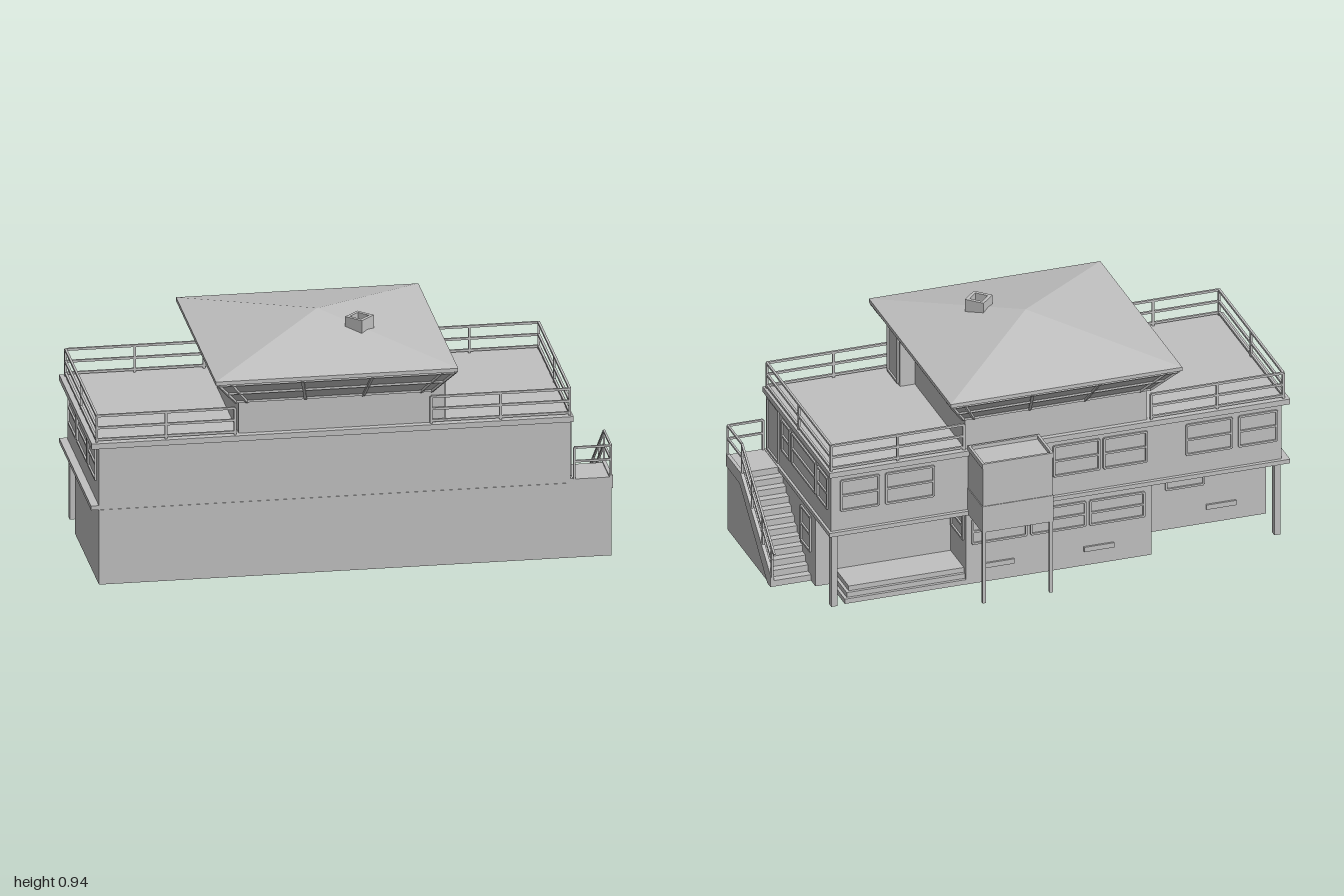
import * as THREE from 'three';

export function createModel() {
  const model = new THREE.Group();
  const grey = new THREE.MeshStandardMaterial({ color: 0xc0c0c0 });
  grey.name = 'plain grey';

  const add = (name, geometry, parent = model) => {
    const mesh = new THREE.Mesh(geometry, grey);
    mesh.name = name;
    parent.add(mesh);
    return mesh;
  };
  const group = (name) => {
    const g = new THREE.Group();
    g.name = name;
    model.add(g);
    return g;
  };
  // Box given by its limits on each axis
  const box = (name, x0, x1, y0, y1, z0, z1, parent) => {
    const g = new THREE.BoxGeometry(x1 - x0, y1 - y0, z1 - z0);
    g.translate((x0 + x1) / 2, (y0 + y1) / 2, (z0 + z1) / 2);
    return add(name, g, parent);
  };
  // Square bar between two points
  const bar = (name, a, b, t, parent) => {
    const p = new THREE.Vector3(...a), q = new THREE.Vector3(...b);
    const mesh = add(name, new THREE.BoxGeometry(t, t, p.distanceTo(q)), parent);
    mesh.position.copy(p).add(q).multiplyScalar(0.5);
    mesh.lookAt(q);
    return mesh;
  };
  // Box whose top rectangle differs from its bottom one; rectangles are [x0, x1, z0, z1]
  const taper = (name, bottom, top, y0, y1) => {
    const g = new THREE.BoxGeometry(1, 1, 1);
    const p = g.attributes.position;
    for (let i = 0; i < p.count; i++) {
      const up = p.getY(i) > 0, r = up ? top : bottom;
      p.setXYZ(i, p.getX(i) > 0 ? r[1] : r[0], up ? y1 : y0, p.getZ(i) > 0 ? r[3] : r[2]);
    }
    g.computeVertexNormals();
    return add(name, g);
  };
  // Side profile of [z, y] points, extruded from x0 to x1
  const profile = (name, points, x0, x1) => {
    const shape = new THREE.Shape(points.map(([z, y]) => new THREE.Vector2(-z, y)));
    const g = new THREE.ExtrudeGeometry(shape, { depth: x1 - x0, bevelEnabled: false });
    g.rotateY(Math.PI / 2).translate(x0, 0, 0);
    return add(name, g);
  };
  // Framed window facing +x, -x or -z; a and b are its limits along the wall
  const frame = (name, face, at, a, b, y0, y1, midBar = true) => {
    const g = group(name), t = 0.008, w = b - a, h = y1 - y0;
    const bars = [[0, -h / 2, w, t], [0, h / 2, w, t], [-w / 2, 0, t, h], [w / 2, 0, t, h]];
    if (midBar) bars.push([0, 0, w, t]);
    for (const [x, y, bw, bh] of bars) {
      add('frameBar', new THREE.BoxGeometry(bw, bh, 0.008).translate(x, y, 0.003), g);
    }
    const mid = (a + b) / 2, y = (y0 + y1) / 2;
    if (face === 'back') g.position.set(mid, y, at);
    else g.position.set(at, y, mid);
    g.rotation.y = { left: Math.PI / 2, right: -Math.PI / 2, back: Math.PI }[face];
  };

  // Ground floor
  box('groundFloor', -0.97, 0.83, 0, 0.3, -0.155, 0.4);
  box('groundFloorRear', -0.45, 0.29, 0, 0.3, -0.33, -0.155);
  box('entryPlatform', 0.29, 0.75, 0, 0.06, -0.305, -0.155);
  for (const [y, d] of [[0.04, 0.012], [0.02, 0.024]]) {
    box('entryStep', 0.29, 0.75 + d, 0, y, -0.305 - d, -0.155);
  }
  frame('entryWindow', 'left', 0.29, -0.305, -0.17, 0.18, 0.29);
  frame('sideWindow', 'left', 0.83, -0.105, 0, 0.125, 0.268);
  for (const x of [-0.42, -0.185, 0.05]) {
    frame('rearWindow', 'back', -0.33, x, x + 0.215, 0.17, 0.27);
  }
  frame('rearWindow', 'back', -0.155, -0.72, -0.57, 0.17, 0.27, false);
  for (const [x, z] of [[-0.3, -0.33], [0.1, -0.33], [-0.85, -0.155]]) {
    box('vent', x, x + 0.12, 0.06, 0.08, z - 0.008, z);
  }
  for (const x of [-0.965, 0.805]) box('cornerColumn', x, x + 0.025, 0, 0.3, -0.335, -0.31);

  // Upper floor and its slabs
  box('floorSlab', -1, 0.84, 0.3, 0.317, -0.345, 0.398);
  box('upperFloor', -0.97, 0.83, 0.317, 0.55, -0.33, 0.4);
  box('roofDeck', -1, 0.84, 0.55, 0.572, -0.345, 0.415);
  for (const [a, b] of [[0.125, 0.215], [-0.165, 0.1], [-0.3, -0.19]]) {
    frame('upperWindow', 'left', 0.83, a, b, 0.4, 0.525);
  }
  for (const [a, b] of [[0.18, 0.34], [-0.08, 0.15], [-0.29, -0.11]]) {
    frame('upperWindow', 'right', -0.97, a, b, 0.4, 0.525);
  }
  for (const [a, b] of [[0.64, 0.79], [0.42, 0.61], [-0.24, -0.06], [-0.43, -0.26], [-0.77, -0.59], [-0.95, -0.8]]) {
    frame('upperWindow', 'back', -0.33, a, b, 0.4, 0.525);
  }
  frame('landingDoor', 'left', 0.83, 0.258, 0.378, 0.325, 0.545, false);

  // Rear shaft on two legs, with an open rim
  box('rearShaftLower', 0, 0.285, 0.3, 0.41, -0.5, -0.33);
  box('rearShaftUpper', 0.003, 0.282, 0.41, 0.575, -0.497, -0.33);
  for (const [x0, x1, z0, z1] of [[0, 0.285, -0.5, -0.49], [0, 0.285, -0.345, -0.335], [0, 0.01, -0.49, -0.345], [0.275, 0.285, -0.49, -0.345]]) {
    box('shaftRim', x0, x1, 0.57, 0.59, z0, z1);
  }
  for (const x of [0.002, 0.269]) box('shaftLeg', x, x + 0.014, 0, 0.3, -0.499, -0.485);

  // Cabin with outward leaning windows
  const sill = [-0.445, 0.3, -0.33, 0.395], head = [-0.53, 0.378, -0.42, 0.492];
  box('cabinWall', -0.435, 0.292, 0.572, 0.7, -0.325, 0.388);
  taper('cabinWindows', sill, head, 0.7, 0.81);
  box('cabinDoorway', 0.28, 0.352, 0.572, 0.81, 0.242, 0.386);
  frame('cabinDoor', 'left', 0.352, 0.258, 0.37, 0.582, 0.8, false);

  // Window bars on the four leaning faces
  const mullions = group('windowBars');
  const corners = (r) => [[r[0], r[2]], [r[1], r[2]], [r[1], r[3]], [r[0], r[3]]];
  const low = corners(sill), high = corners(head);
  const mix = (a, b, t) => a + (b - a) * t;
  const onFace = (s, u, v) => {
    const e = (s + 1) % 4;
    const c = [0, 1].map((k) => mix(mix(low[s][k], low[e][k], u), mix(high[s][k], high[e][k], u), v));
    return [c[0], mix(0.7, 0.81, v), c[1]];
  };
  for (let s = 0; s < 4; s++) {
    for (const u of [0, 0.055, 0.35, 0.645, 0.945]) {
      bar('upright', onFace(s, u, 0), onFace(s, u, 1), 0.011, mullions);
    }
    for (const v of [0.04, 0.5, 0.96]) {
      bar('crossBar', onFace(s, 0, v), onFace(s, 1, v), 0.009, mullions);
    }
  }

  // Pyramid roof and hollow chimney
  box('eaves', -0.54, 0.385, 0.81, 0.825, -0.427, 0.5);
  taper('roof', [-0.54, 0.385, -0.427, 0.5], [-0.078, -0.078, 0.037, 0.037], 0.825, 0.925);
  const square = (r) => [[r, 0], [0, r], [-r, 0], [0, -r]].map(([x, y]) => new THREE.Vector2(x, y));
  const flue = new THREE.Shape(square(0.055));
  flue.holes.push(new THREE.Path(square(0.036)));
  const chimney = new THREE.ExtrudeGeometry(flue, { depth: 0.075, bevelEnabled: false });
  chimney.rotateX(-Math.PI / 2).translate(0.062, 0.86, 0.172);
  add('chimney', chimney);

  // Deck railings on both terraces
  const railing = (name, path, y0, heights, t = 0.009) => {
    const g = group(name), top = Math.max(...heights);
    path.forEach(([x, z], i) => {
      bar('post', [x, y0, z], [x, top, z], t, g);
      if (!i) return;
      for (const y of heights) bar('rail', [path[i - 1][0], y, path[i - 1][1]], [x, y, z], t, g);
    });
  };
  const loop = (inner, outer) => {
    const mid = (inner + outer) / 2;
    return [[inner, 0.398], [mid, 0.398], [outer, 0.398], [outer, 0.035], [outer, -0.328], [mid, -0.328], [inner, -0.328]];
  };
  railing('rightTerraceRailing', loop(-0.45, -0.978), 0.572, [0.583, 0.63, 0.678]);
  railing('leftTerraceRailing', loop(0.298, 0.828), 0.572, [0.583, 0.63, 0.678]);

  // Outside stair: landing, steps and outer wall
  const steps = [[0.4, 0], [0.4, 0.315], [0.24, 0.315]], count = 11;
  for (let i = 0; i < count; i++) {
    const z = 0.24 - (i * 0.345) / count, y = 0.315 - ((i + 1) * 0.29) / count;
    steps.push([z, y], [z - 0.345 / count, y]);
  }
  steps.push([-0.105, 0]);
  profile('stairs', steps, 0.83, 0.98);
  profile('stairWall', [[0.4, 0], [0.4, 0.27], [0.245, 0.27], [-0.07, 0]], 0.978, 0.986);
  profile('stairStringer', [[0.4, 0.27], [0.4, 0.32], [0.235, 0.32], [-0.105, 0.05], [-0.105, 0], [-0.07, 0], [0.245, 0.27]], 0.978, 0.992);

  // Stair handrails
  railing('landingRailing', [[0.845, 0.396], [0.985, 0.396], [0.985, 0.235]], 0.315, [0.385, 0.44], 0.008);
  const handrail = group('stairHandrail'), slope = 0.8;
  const railY = (z, y) => y - (0.235 - z) * slope;
  bar('rail', [0.985, 0.44, 0.235], [0.985, railY(-0.13, 0.44), -0.13], 0.008, handrail);
  bar('rail', [0.985, 0.385, 0.235], [0.985, railY(-0.105, 0.385), -0.105], 0.008, handrail);
  for (const z of [0.12, 0, -0.103]) {
    bar('post', [0.985, railY(z, 0.31), z], [0.985, railY(z, 0.44), z], 0.008, handrail);
  }
  return model;
}
